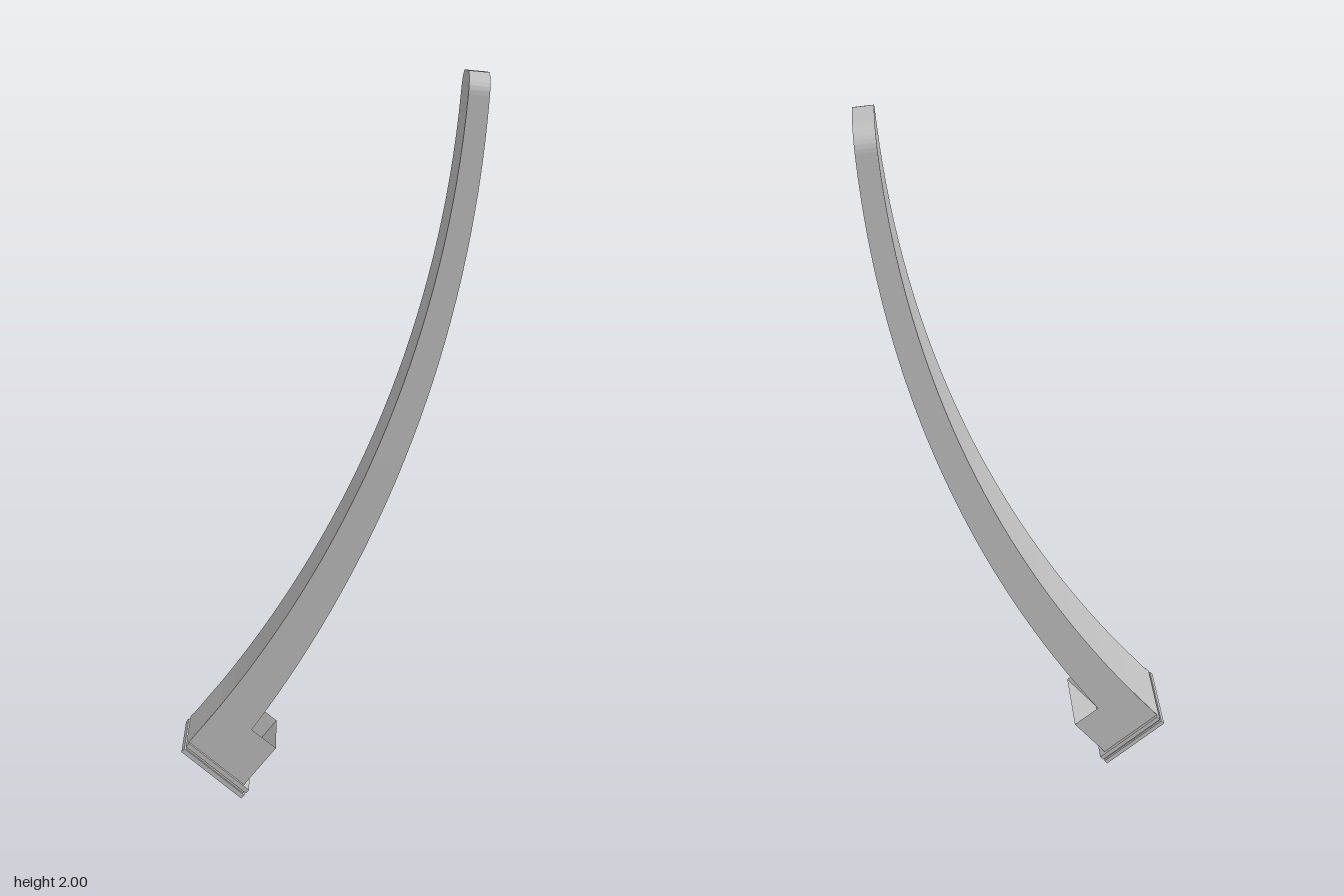
import * as THREE from 'three';

const gray = new THREE.MeshStandardMaterial({ color: 0xbfbfbf, side: THREE.DoubleSide, flatShading: true });
gray.name = 'plain gray';

const HALF = 0.11;     // half width of the channel
const FOOT = 0.07;     // share of the length taken by the foot
const ROUND = 0.06;    // tip corner radius
const LENGTH = 2.03;

// Circular arc from a to b, bulging to the right of travel by sag
function arc(a, b, sag) {
  const dx = b[0] - a[0], dy = b[1] - a[1], c = Math.hypot(dx, dy);
  const r = (c * c / 4 + sag * sag) / (2 * sag);
  const cx = (a[0] + b[0]) / 2 + (dy / c) * (sag - r);
  const cy = (a[1] + b[1]) / 2 - (dx / c) * (sag - r);
  const t0 = Math.atan2(a[1] - cy, a[0] - cx), t1 = Math.atan2(b[1] - cy, b[0] - cx);
  return t => {
    const k = t0 + (t1 - t0) * t;
    return [cx + r * Math.cos(k), cy + r * Math.sin(k)];
  };
}
const web = arc([-0.397, 0.165], [0.36, 2.0], 0.164);
const lip = arc([-0.222, 0.2], [0.415, 1.995], 0.14);
const lipAt = s => lip((s - FOOT) / (1 - FOOT));

// Surface joining two rows of points
function ribbon(name, rowA, rowB) {
  const pos = [], index = [];
  rowA.forEach((p, i) => {
    pos.push(...p, ...rowB[i]);
    if (i) index.push(2 * i - 2, 2 * i, 2 * i - 1, 2 * i - 1, 2 * i, 2 * i + 1);
  });
  const g = new THREE.BufferGeometry();
  g.setAttribute('position', new THREE.Float32BufferAttribute(pos, 3));
  g.setIndex(index);
  g.computeVertexNormals();
  const m = new THREE.Mesh(g, gray);
  m.name = name;
  return m;
}

export function createModel() {
  const group = new THREE.Group();
  group.name = 'curvedChannel';

  // Outline of one half: [share of length, half width]
  const outline = [];
  const straightEnd = 1 - ROUND / LENGTH;
  for (let i = 0; i <= 32; i++) outline.push([FOOT + (straightEnd - FOOT) * i / 32, HALF]);
  for (let i = 1; i <= 8; i++) {
    const a = i / 8 * Math.PI / 2;
    outline.push([straightEnd + Math.sin(a) * ROUND / LENGTH, HALF - ROUND * (1 - Math.cos(a))]);
  }

  // Curved back plate
  const back = [[0, HALF], ...outline];
  group.add(ribbon('backPlate',
    back.map(([s, w]) => [...web(s), w]),
    back.map(([s, w]) => [...web(s), -w])));

  // Rim running up one side, over the tip and down the other side
  const loop = [...outline, ...outline.slice().reverse().map(([s, w]) => [s, -w])];
  group.add(ribbon('rim',
    loop.map(([s, z]) => [...lipAt(s), z]),
    loop.map(([s, z]) => [...web(s), z])));

  // Foot cheeks, closed by an end wall and open at the top
  const cheek = new THREE.Shape([
    web(0), [-0.247, 0.035], [-0.155, 0.145], lip(0), web(FOOT), web(FOOT / 2),
  ].map(p => new THREE.Vector2(...p)));
  for (const side of [1, -1]) {
    const m = new THREE.Mesh(new THREE.ShapeGeometry(cheek), gray);
    m.position.z = side * HALF;
    m.name = side > 0 ? 'frontFootCheek' : 'rearFootCheek';
    group.add(m);
  }
  group.add(ribbon('footEndWall',
    [[-0.247, 0.035, HALF], [-0.155, 0.145, HALF]],
    [[-0.247, 0.035, -HALF], [-0.155, 0.145, -HALF]]));

  // Tilted base: two flanges with a groove between
  const base = new THREE.Group();
  base.name = 'base';
  base.position.set(-0.335, 0.07, 0);
  base.rotation.z = -0.7;
  const layers = [
    ['lowerFlange', 0.216, 0.24, 0, 0.013],
    ['groove', 0.204, 0.226, 0.013, 0.007],
    ['upperFlange', 0.216, 0.24, 0.02, 0.013],
  ];
  for (const [name, w, d, y, h] of layers) {
    const m = new THREE.Mesh(new THREE.BoxGeometry(w, h, d), gray);
    m.position.y = y + h / 2;
    m.name = name;
    base.add(m);
  }
  group.add(base);
  return group;
}
